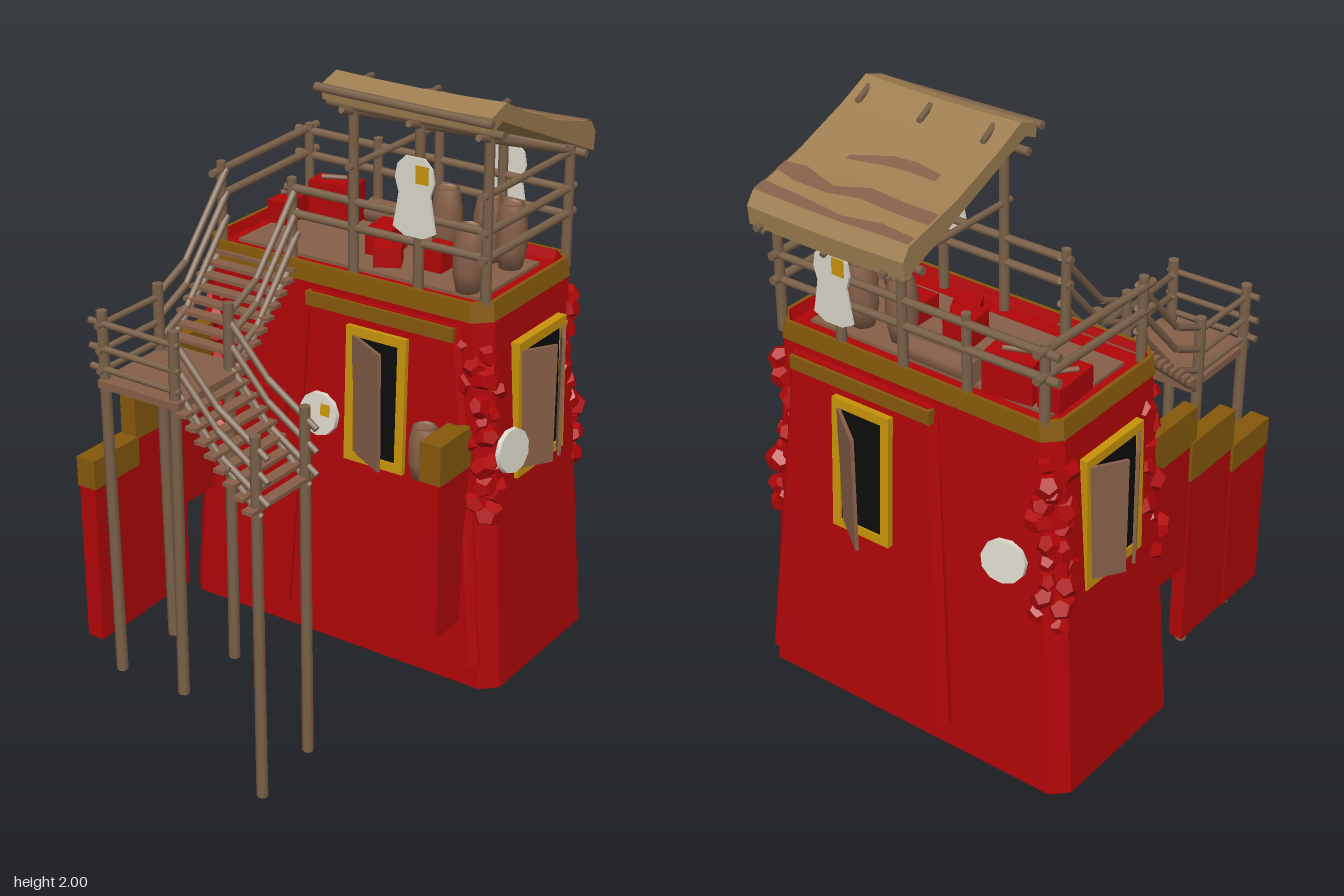
import * as THREE from 'three';

const mat = (name, color) => {
  const m = new THREE.MeshStandardMaterial({ color, side: THREE.DoubleSide });
  m.name = name;
  return m;
};

export function createModel() {
  const red = mat('red plaster', 0xb00507), ochre = mat('dark ochre trim', 0x85580c);
  const gold = mat('gold frame', 0xc8930a), wood = mat('pole wood', 0x7b6149);
  const brown = mat('brown boards', 0x865f48), tan = mat('tan hide', 0x9e7e51);
  const white = mat('bone white', 0xdad6ca), black = mat('dark opening', 0x0c0c0c);
  const root = new THREE.Group();
  root.name = 'watchtower';
  let seed = 7;
  const rnd = () => (seed = (seed * 16807) % 2147483647) / 2147483647;

  const add = (name, geo, m, parent = root) => {
    const mesh = new THREE.Mesh(geo, m);
    mesh.name = name;
    parent.add(mesh);
    return mesh;
  };
  // box given by its limits
  const box = (name, m, x0, x1, y0, y1, z0, z1, parent = root) => {
    const b = add(name, new THREE.BoxGeometry(x1 - x0, y1 - y0, z1 - z0), m, parent);
    b.position.set((x0 + x1) / 2, (y0 + y1) / 2, (z0 + z1) / 2);
    return b;
  };
  // round pole between two points
  const pole = (name, a, b, r = 0.011, m = wood) => {
    const p = new THREE.Vector3(...a), q = new THREE.Vector3(...b), d = q.clone().sub(p);
    const c = add(name, new THREE.CylinderGeometry(r * 0.9, r, d.length(), 7), m);
    c.position.copy(p).add(q).multiplyScalar(0.5);
    c.quaternion.setFromUnitVectors(new THREE.Vector3(0, 1, 0), d.normalize());
  };
  // chamfered rectangle at height y
  const sec = (y, x0, x1, z0, z1, c) => [[x0 + c, z1], [x1 - c, z1], [x1, z1 - c], [x1, z0 + c],
    [x1 - c, z0], [x0 + c, z0], [x0, z0 + c], [x0, z1 - c]].map(([x, z]) => [x, y, z]);
  const flat = v => {
    const g = new THREE.BufferGeometry();
    g.setAttribute('position', new THREE.Float32BufferAttribute(v, 3));
    g.computeVertexNormals();
    return g;
  };
  // faceted skin through cross-sections
  const loft = (secs, top = true, bottom = true) => {
    const v = [], n = secs[0].length;
    for (let s = 0; s + 1 < secs.length; s++) for (let i = 0; i < n; i++) {
      const j = (i + 1) % n, a = secs[s], b = secs[s + 1];
      v.push(...a[i], ...a[j], ...b[j], ...a[i], ...b[j], ...b[i]);
    }
    const a = secs[0], b = secs[secs.length - 1];
    for (let i = 1; i + 1 < n; i++) {
      if (top) v.push(...b[0], ...b[i], ...b[i + 1]);
      if (bottom) v.push(...a[0], ...a[i + 1], ...a[i]);
    }
    return flat(v);
  };

  // Tower body, open below, with a band and red rim at the top
  add('towerBody', loft([sec(0.26, -0.56, 0.545, -0.49, 0.07, 0.045), sec(1.41, -0.485, 0.475, -0.445, 0.045, 0.045)], true, false), red);
  add('topBand', loft([sec(1.385, -0.49, 0.48, -0.45, 0.055, 0.045), sec(1.44, -0.482, 0.472, -0.445, 0.05, 0.045),
    sec(1.44, -0.47, 0.46, -0.434, 0.038, 0.04)], false, false), ochre);
  add('innerRim', loft([sec(1.44, -0.47, 0.46, -0.434, 0.038, 0.04), sec(1.41, -0.46, 0.45, -0.425, 0.028, 0.035)], false, false), red);
  box('roofFloor', brown, -0.42, 0.4, 1.405, 1.42, -0.37, -0.04);

  // Front and back raised panels with a trim bar
  add('frontPanel', loft([sec(0.34, -0.17, 0.5, -0.05, 0.094, 0.02), sec(1.365, -0.11, 0.4, -0.05, 0.058, 0.02)]), red);
  add('backPanel', loft([sec(0.34, -0.17, 0.5, -0.524, -0.4, 0.02), sec(1.365, -0.11, 0.4, -0.47, -0.4, 0.02)]), red);
  box('frontTrim', ochre, -0.105, 0.385, 1.32, 1.362, 0.03, 0.069);
  box('backTrim', ochre, -0.105, 0.385, 1.32, 1.362, -0.481, -0.44);

  // Windows: frame faces local +z, shutters are [hinge x, angle, width]
  const windowAt = (name, x, z, turn, tilt, w, shutters) => {
    const g = new THREE.Group(), f = new THREE.Group();
    g.name = name;
    g.position.set(x, 1.09, z);
    g.rotation.y = turn;
    f.rotation.x = tilt;
    root.add(g);
    g.add(f);
    const h = 0.205, t = 0.028;
    for (const s of [-1, 1]) {
      box('frameSide', gold, s * (w - t / 2) - t / 2, s * (w - t / 2) + t / 2, -h, h, -0.025, 0.012, f);
      box('frameBar', gold, -w + t, w - t, s * (h - t / 2) - t / 2, s * (h - t / 2) + t / 2, -0.025, 0.012, f);
    }
    box('opening', black, -w + t, w - t, -h + t, h - t, -0.003, 0.006, f);
    for (const [hx, angle, len] of shutters) {
      const hinge = new THREE.Group();
      hinge.position.set(hx, 0, 0.004);
      hinge.rotation.y = angle;
      g.add(hinge);
      box('shutter', brown, 0, len, -0.18, 0.18, -0.005, 0.005, hinge);
    }
  };
  const pair = [[-0.115, -0.56, 0.112], [0.115, Math.PI + 0.56, 0.112]];
  windowAt('frontWindow', 0.14, 0.071, 0, -0.035, 0.1, [[-0.075, -0.5, 0.155]]);
  windowAt('backWindow', 0.125, -0.492, Math.PI, -0.05, 0.1, [[-0.075, -0.64, 0.17]]);
  windowAt('leftWindow', 0.502, -0.21, Math.PI / 2, -0.02, 0.13, pair);
  windowAt('rightWindow', -0.509, -0.21, -Math.PI / 2, -0.02, 0.13, pair);

  // Rough stones down the corners, spreading onto both faces
  for (const sx of [-1, 1]) for (const sz of [-1, 1]) for (let i = 0; i < 18; i++) {
    const y = 0.82 + i * 0.029, k = (y - 0.26) / 1.15, alongX = i % 2;
    const s = add('cornerStone', new THREE.DodecahedronGeometry(0.03 + rnd() * 0.018, 0), red);
    s.geometry.scale(1, 0.8, 1);
    s.position.set(-0.005 + sx * (0.53 - 0.07 * k - alongX * rnd() * 0.07), y, -0.205 + sz * (0.262 - 0.03 * k - (1 - alongX) * rnd() * 0.07));
    s.rotation.set(rnd() * 3, rnd() * 3, rnd() * 3);
  }

  // Stepped side wall and short buttress, each with an ochre cap
  const cappedWall = (x0, x1, z0, z1, y0, y1, cap) => {
    box('wallBlock', red, x0, x1, y0, y1 - cap, z0, z1);
    box('wallCap', ochre, x0 - 0.004, x1 + 0.004, y1 - cap, y1, z0 - 0.003, z1 + 0.003);
  };
  cappedWall(-0.505, -0.45, 0.42, 0.61, 0.37, 0.95, 0.09);
  cappedWall(-0.5, -0.455, 0.2, 0.42, 0.37, 1.07, 0.13);
  cappedWall(-0.495, -0.455, 0.02, 0.22, 0.64, 1.18, 0.12);
  cappedWall(0.38, 0.44, 0.03, 0.21, 0.48, 1.08, 0.12);
  box('ledge', red, -0.33, -0.18, 0.93, 1.03, 0.03, 0.07);

  // Barrels
  const barrel = (x, y, z, r, h) => {
    const pts = [[0, 0], [0.75, 0], [1, 0.3], [1, 0.7], [0.78, 1], [0.65, 1], [0.65, 0.95], [0, 0.95]];
    add('barrel', new THREE.LatheGeometry(pts.map(([a, b]) => new THREE.Vector2(a * r, b * h)), 9), brown).position.set(x, y, z);
  };
  barrel(0.33, 0.92, 0.115, 0.046, 0.155);
  for (const [x, z] of [[0.13, -0.3], [0.27, -0.3], [0.345, -0.07], [0.35, -0.29]]) barrel(x, 1.42, z, 0.046, 0.19);
  pole('rolledMat', [-0.18, 1.46, -0.37], [0.06, 1.46, -0.37], 0.038, brown);

  // Red crates on the roof
  for (const [x, z, w, h, d, a] of [[-0.28, -0.34, 0.15, 0.12, 0.08, 0.15], [-0.4, -0.28, 0.07, 0.07, 0.16, 0.05],
    [-0.01, -0.2, 0.08, 0.08, 0.11, 0.1], [0.05, -0.12, 0.08, 0.06, 0.08, 0.5], [0.18, -0.18, 0.08, 0.06, 0.1, 0]]) {
    const b = add('crate', new THREE.BoxGeometry(w, h, d), red);
    b.position.set(x, 1.42 + h / 2, z);
    b.rotation.y = a;
  }
  // Loose sticks on the crates
  pole('stick', [-0.42, 1.5, -0.25], [-0.37, 1.5, -0.31], 0.008, brown);
  pole('stick', [-0.32, 1.55, -0.32], [-0.25, 1.55, -0.35], 0.008, brown);

  // Roof railing
  for (const [x, z] of [[-0.44, -0.425], [-0.19, -0.425], [-0.44, 0.01], [-0.19, 0.01]]) pole('railPost', [x, 1.4, z], [x, 1.665, z], 0.016);
  for (const y of [1.56, 1.635]) {
    pole('backRail', [-0.49, y + 0.005, -0.43], [0.45, y - 0.005, -0.43], 0.013);
    pole('frontRail', [-0.21, y, 0.01], [0.45, y, 0.01], 0.013);
    pole('sideRail', [-0.445, y + 0.015, -0.47], [-0.445, y, 0.05], 0.013);
    pole('sideRail', [0.45, y, -0.46], [0.45, y, 0.04], 0.013);
  }

  // Canopy frame
  for (const x of [0.02, 0.235, 0.45]) {
    pole('frontPost', [x, 1.4, 0.01], [x, 1.95, 0.01], 0.016);
    pole('backPost', [x, 1.4, -0.43], [x, 1.76, -0.43], 0.016);
    pole('rafter', [x, 1.912, 0.07], [x, 1.72, -0.49], 0.01);
    pole('rafterTip', [x + 0.01, 1.975, -0.02], [x - 0.015, 1.965, -0.1], 0.01);
  }
  for (const x of [0.02, 0.45]) pole('tieBeam', [x, 1.74, -0.51], [x, 1.74, 0.04]);
  pole('backBeam', [-0.065, 1.75, -0.44], [0.495, 1.74, -0.44], 0.013);
  pole('frontBeam', [-0.06, 1.91, 0.015], [0.495, 1.91, 0.015], 0.013);
  pole('ridgePole', [-0.06, 1.965, 0.075], [0.495, 1.955, 0.075], 0.013);

  // Hide canopy: a bent sheet with a thick rear roll
  const top = [[0.07, 1.972], [0, 1.996], [-0.1, 1.947], [-0.2, 1.908], [-0.3, 1.868], [-0.42, 1.835], [-0.47, 1.825], [-0.495, 1.79]];
  const under = [[-0.49, 1.735], [-0.42, 1.765], [-0.3, 1.825], [-0.2, 1.87], [-0.1, 1.912], [0, 1.958], [0.065, 1.93]];
  const sag = x => 0.006 * Math.sin((x + 0.045) * 5.9);
  const roofY = z => {
    const i = Math.max(1, top.findIndex(p => p[0] <= z)), [z0, y0] = top[i - 1], [z1, y1] = top[i];
    return y0 + (y1 - y0) * (z - z0) / (z1 - z0);
  };
  add('canopy', loft([-0.045, 0.08, 0.22, 0.36, 0.49].map(x => [...top, ...under].map(([z, y]) => [x, y - sag(x), z]))), tan);

  // Brown stains on the hide: strips of [x, back z, front z]
  for (const strip of [[[-0.04, -0.468, -0.44], [0.08, -0.465, -0.425], [0.2, -0.468, -0.445], [0.35, -0.468, -0.43], [0.49, -0.468, -0.425]],
    [[-0.04, -0.385, -0.34], [0.08, -0.38, -0.335], [0.2, -0.37, -0.325], [0.3, -0.39, -0.36], [0.42, -0.39, -0.33], [0.49, -0.375, -0.34]],
    [[0.05, -0.245, -0.22], [0.14, -0.24, -0.205], [0.22, -0.245, -0.21], [0.34, -0.265, -0.25]]]) {
    const v = [], at = (x, z) => [x, roofY(z) + 0.005 - sag(x), z];
    for (let i = 0; i + 1 < strip.length; i++) {
      const [a, ab, af] = strip[i], [b, bb, bf] = strip[i + 1];
      v.push(...at(a, af), ...at(b, bf), ...at(b, bb), ...at(a, af), ...at(b, bb), ...at(a, ab));
    }
    add('hideStain', flat(v), brown);
  }

  // Pale hide hangings with a gold patch
  const half = [[0.03, 0.225], [0.055, 0.2], [0.062, 0.16], [0.05, 0.12], [0.06, 0.06], [0.068, 0.02], [0.03, 0]];
  const hideShape = new THREE.Shape([...half, ...half.slice().reverse().map(([x, y]) => [-x, y])].map(p => new THREE.Vector2(...p)));
  for (const [y, z, turn] of [[1.585, 0.03, 0], [1.5, -0.451, Math.PI]]) {
    const g = new THREE.Group();
    g.name = 'hanging';
    g.position.set(0.235, y, z);
    g.rotation.y = turn;
    root.add(g);
    add('hangingSkin', new THREE.ExtrudeGeometry(hideShape, { depth: 0.008, bevelEnabled: false }), white, g);
    box('hangingPatch', gold, 0.005, 0.045, 0.155, 0.205, 0.008, 0.011, g);
  }

  // Round shields on the walls
  for (const [x, z, turn] of [[-0.05, 0.083, 0], [0.53, -0.025, Math.PI / 2 - 0.15], [-0.36, -0.492, Math.PI + 0.25]]) {
    const g = new THREE.Group();
    g.name = 'shield';
    g.position.set(x, 1.0, z);
    g.rotation.set(-0.1, turn, 0, 'YXZ');
    root.add(g);
    add('shieldDisc', new THREE.CylinderGeometry(0.065, 0.067, 0.014, 11), white, g).rotation.x = Math.PI / 2;
    if (turn === 0) box('shieldPatch', gold, 0.01, 0.04, 0.0, 0.035, 0.007, 0.01, g);
  }

  // Upper flight, landing and lower flight
  for (let i = 0; i < 8; i++) {
    const z = 0.045 + i * 0.032, y = 1.41 - i * 0.027, x = -0.145 + i * 0.031, y2 = 1.165 - i * 0.033;
    box('upperTread', brown, -0.45, -0.15, y - 0.008, y + 0.004, z - 0.018, z + 0.018);
    box('lowerTread', brown, x - 0.018, x + 0.018, y2 - 0.008, y2 + 0.004, 0.305, 0.59);
  }
  box('landing', brown, -0.435, -0.155, 1.172, 1.195, 0.28, 0.59);
  for (const x of [-0.43, -0.18]) {
    pole('upperStringer', [x, 1.41, 0.03], [x, 1.17, 0.31], 0.012);
    for (const d of [0, 0.07, 0.14]) {
      pole('upperRail', [x, 1.64 - d, 0.0], [x, 1.42 - d, 0.2], 0.011);
      pole('upperRail', [x, 1.42 - d, 0.2], [x, 1.36 - d, 0.33], 0.011);
    }
    for (const z of [0.325, 0.565]) pole('landingPost', [x + (x < -0.3 ? 0.01 : -0.01), 0.26, z], [x, 1.395, z], 0.018);
  }
  for (const y of [1.355, 1.28, 1.22]) {
    pole('landingSideRail', [-0.43, y, 0.31], [-0.43, y, 0.59], 0.01);
    pole('landingFrontRail', [-0.47, y + 0.005, 0.57], [-0.16, y, 0.57], 0.01);
  }
  for (const [z, foot] of [[0.325, 0.03], [0.55, 0]]) {
    pole('footPost', [0.075, foot, z], [0.075, 1.15, z], 0.018);
    pole('lowerStringer', [-0.17, 1.175, z], [0.09, 0.91, z], 0.012);
    for (const d of [0, 0.07, 0.14]) {
      pole('lowerRail', [-0.19, 1.355 - d, z], [-0.05, 1.2 - d, z], 0.011);
      pole('lowerRail', [-0.05, 1.2 - d, z], [0.115, 1.09 - d, z], 0.011);
    }
  }
  return root;
}
